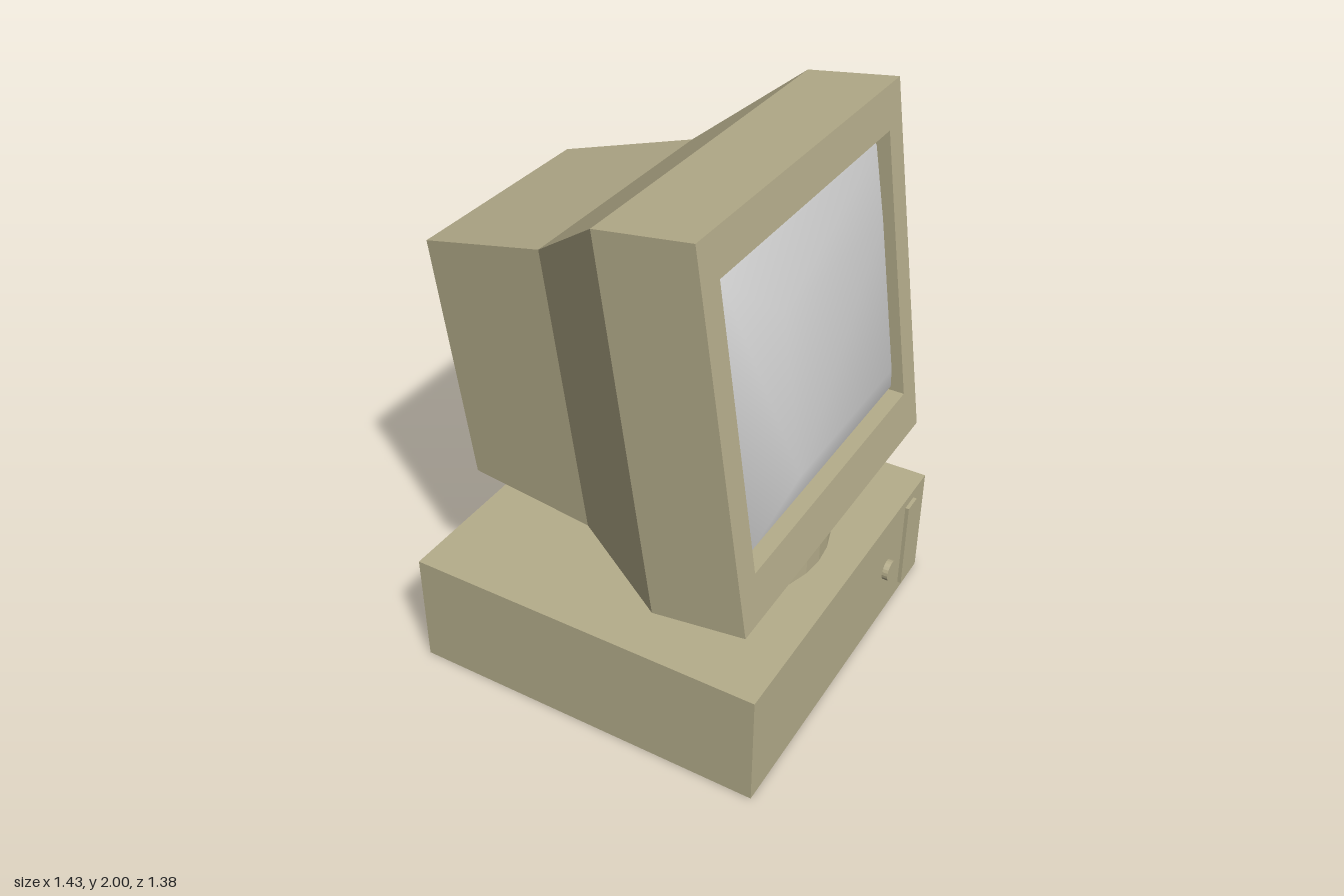
import * as THREE from 'three';
import { mergeVertices } from 'three/addons/utils/BufferGeometryUtils.js';

// Joins a list of four-cornered rings with quads; optional caps, optional smooth normals
function loft(rings, { capStart = false, capEnd = false, smooth = false } = {}) {
  const pos = [];
  const quad = (a, b, c, d) => pos.push(...a, ...b, ...c, ...a, ...c, ...d);
  for (let r = 0; r < rings.length - 1; r++) {
    const a = rings[r], b = rings[r + 1];
    for (let i = 0; i < 4; i++) {
      const j = (i + 1) % 4;
      quad(a[i], a[j], b[j], b[i]);
    }
  }
  if (capStart) quad(...[...rings[0]].reverse());
  if (capEnd) quad(...rings[rings.length - 1]);
  let geo = new THREE.BufferGeometry();
  geo.setAttribute('position', new THREE.Float32BufferAttribute(pos, 3));
  if (smooth) geo = mergeVertices(geo);
  geo.computeVertexNormals();
  return geo;
}

// Upright cross-section of the tilted monitor, given by its top and bottom edges
const section = (xTop, yTop, xBot, yBot, w) => [
  [xBot, yBot, w], [xBot, yBot, -w], [xTop, yTop, -w], [xTop, yTop, w],
];

// Rectangle parallel to the tilted front plane, moved out of it by d
const TILT = 0.143;
const faceRing = (yTop, yBot, w, d) => {
  const x = (y) => 0.64 - (y - 0.67) * TILT + d;
  return section(x(yTop), yTop, x(yBot), yBot, w);
};

export function createModel() {
  const model = new THREE.Group();
  const beige = new THREE.MeshStandardMaterial({ color: 0xb5ad8b, flatShading: true });
  const grey = new THREE.MeshStandardMaterial({ color: 0xcccccc, side: THREE.DoubleSide });

  const add = (name, geo, mat, x = 0, y = 0, z = 0, parent = model) => {
    const mesh = new THREE.Mesh(geo, mat);
    mesh.name = name;
    mesh.position.set(x, y, z);
    parent.add(mesh);
    return mesh;
  };

  // Base unit with its front details
  add('baseUnit', new THREE.BoxGeometry(1.345, 0.44, 1.38), beige, 0.0225, 0.22, 0);
  add('slotPlate', new THREE.BoxGeometry(0.03, 0.365, 0.075), beige, 0.694, 0.222, -0.547);
  const button = add('powerButton', new THREE.CylinderGeometry(0.04, 0.04, 0.04, 20), beige, 0.697, 0.21, -0.37);
  button.rotation.z = -Math.PI / 2;

  // Swivel disc
  add('swivelDisc', new THREE.CylinderGeometry(0.422, 0.422, 0.095, 32), beige, 0.143, 0.4875, -0.035);

  const monitor = new THREE.Group();
  monitor.name = 'monitor';
  monitor.position.z = -0.012;
  model.add(monitor);

  // Neck flares from the disc to the slanted underside of the housing
  add('neck', loft([
    [[-0.055, 0.53, 0.25], [0.28, 0.53, 0.25], [0.28, 0.53, -0.25], [-0.055, 0.53, -0.25]],
    [[-0.08, 0.677, 0.467], [0.3, 0.62, 0.673], [0.3, 0.62, -0.673], [-0.08, 0.677, -0.467]],
  ], { capStart: true }), beige, 0, 0, 0, monitor);

  // Housing from the back to the bezel, then into the screen recess
  add('housing', loft([
    section(-0.715, 1.57, -0.59, 0.677, 0.408),
    section(-0.22, 1.7, -0.08, 0.677, 0.467),
    section(0.115, 1.955, 0.3, 0.62, 0.673),
    section(0.45, 2, 0.64, 0.67, 0.673),
    faceRing(1.85, 0.85, 0.573, 0),
    faceRing(1.85, 0.85, 0.573, -0.1),
  ], { capStart: true }), beige, 0, 0, 0, monitor);

  // Bulging glass
  add('screen', loft([
    faceRing(1.85, 0.85, 0.573, -0.068),
    faceRing(1.81, 0.9, 0.523, -0.027),
    faceRing(1.645, 1.09, 0.348, 0.064),
  ], { capEnd: true, smooth: true }), grey, 0, 0, 0, monitor);

  return model;
}
